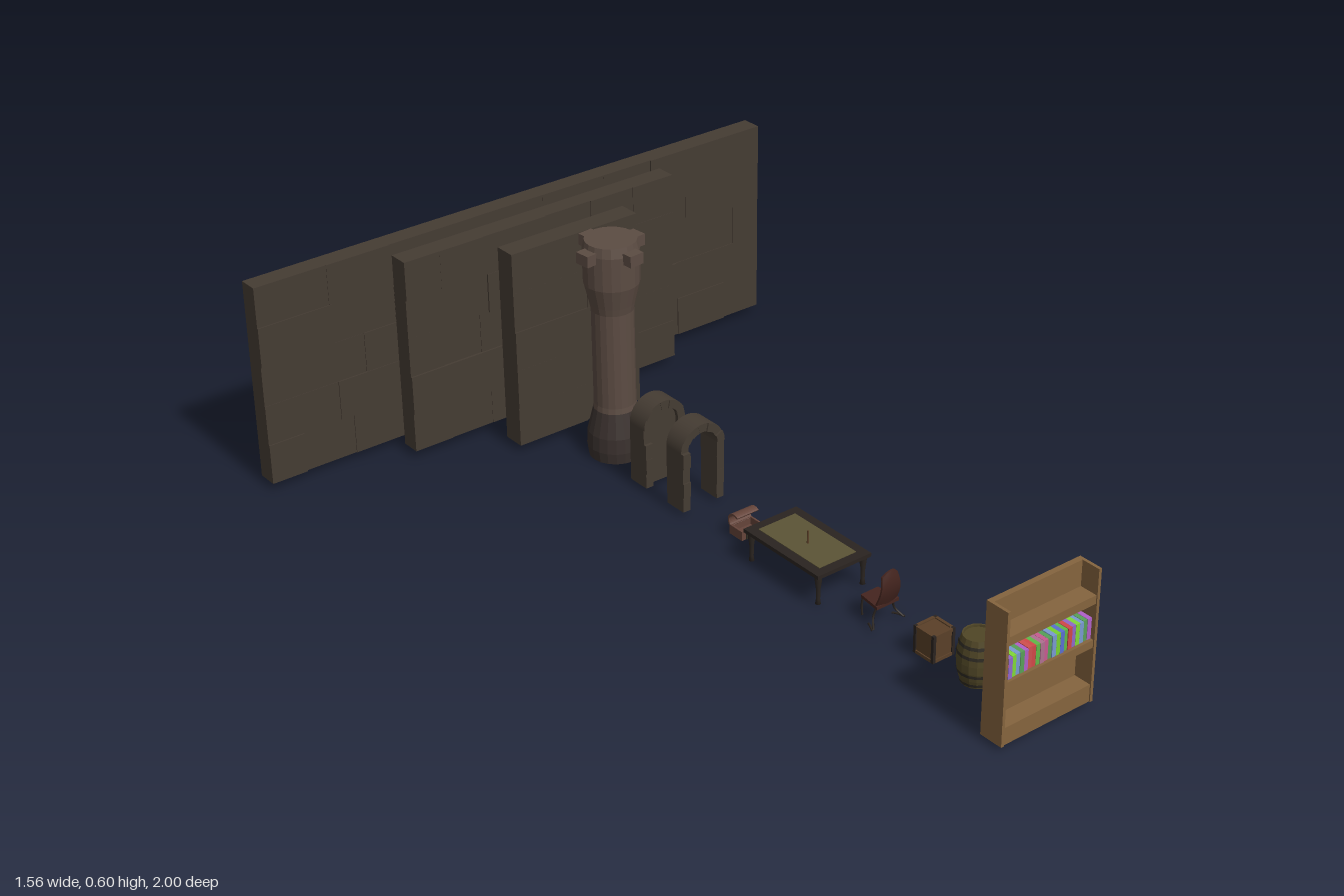
import * as THREE from 'three';

const mat = (color, flat = false, side = THREE.FrontSide) => new THREE.MeshStandardMaterial({ color, flatShading: flat, side });
const stone = mat(0x453c33, true), column = mat(0x5c4c43, true), columnDark = mat(0x3a312e, true);
const wood = mat(0x85643e), woodDark = mat(0x5a4028), felt = mat(0x5c5436), black = mat(0x2a2420);
const leather = mat(0x45251f), barrelWood = mat(0x504626, true), iron = mat(0x2e2a22, true);
const chestRed = mat(0x65443a, true, THREE.DoubleSide);

let seed = 7;
const rnd = () => (seed = (seed * 16807) % 2147483647) / 2147483647;

function add(parent, name, geometry, material, x = 0, y = 0, z = 0) {
  const m = new THREE.Mesh(geometry, material);
  m.name = name;
  m.position.set(x, y, z);
  parent.add(m);
  return m;
}
// box given by its extents
const box = (p, name, material, x0, x1, y0, y1, z0, z1) =>
  add(p, name, new THREE.BoxGeometry(x1 - x0, y1 - y0, z1 - z0), material, (x0 + x1) / 2, (y0 + y1) / 2, (z0 + z1) / 2);
function group(parent, name) {
  const g = new THREE.Group();
  g.name = name;
  parent.add(g);
  return g;
}
const lathe = (pts, n) => new THREE.LatheGeometry(pts.map(p => new THREE.Vector2(...p)), n);

// slab faced with courses of uneven stones
function wall(root, name, x0, x1, y0, y1, z0, z1) {
  const g = group(root, name), courses = 5, h = (y1 - y0) / courses;
  box(g, 'wallCore', stone, x0, x1, y0, y1, z0, z1 - 0.007);
  for (let i = 0; i < courses; i++) {
    let x = x0;
    while (x < x1 - 0.001) {
      let e = x + 0.1 + rnd() * 0.16;
      if (e > x1 - 0.06) e = x1;
      box(g, 'wallStone', stone, x, e, y0 + i * h, y0 + (i + 1) * h, z1 - 0.02, z1 - 0.006 + rnd() * 0.007);
      x = e;
    }
  }
}

function pillar(root) {
  const g = group(root, 'pillar');
  g.position.z = -0.565;
  add(g, 'pillarBase', lathe([[0, 0], [0.07, 0], [0.074, 0.03], [0.072, 0.07], [0.056, 0.135]], 20), columnDark);
  add(g, 'pillarShaft', lathe([[0.056, 0.135], [0.054, 0.15], [0.054, 0.41], [0.058, 0.43], [0.071, 0.485], [0.072, 0.575],
    [0.066, 0.6], [0, 0.6]], 20), column);
  for (let i = 0; i < 4; i++) {
    const lug = group(g, 'pillarLug');
    lug.rotation.y = i * Math.PI / 2 + 0.1;
    box(lug, 'lugBlock', column, -0.021, 0.021, 0.557, 0.587, 0.06, 0.095);
  }
}

// round-headed stone arch, optionally walled up
function arch(root, name, z0, z1, closed) {
  const g = group(root, name);
  g.position.x = -0.004;
  const R = 0.064, r = 0.042, spring = 0.174, foot = 0.012;
  const piece = (shape, depth) => add(g, 'archStone',
    new THREE.ExtrudeGeometry(shape, { depth, bevelEnabled: false, curveSegments: 4 }), stone, 0, 0, z0);
  const depth = () => z1 - z0 - rnd() * 0.012;
  const n = 7;
  for (let i = 0; i < n; i++) {
    const a = Math.PI * i / n, b = Math.PI * (i + 1) / n;
    const s = new THREE.Shape();
    s.absarc(0, spring, R, a, b, false);
    s.absarc(0, spring, r, b, a, true);
    piece(s, depth());
  }
  for (const side of [-1, 1]) for (let i = 0; i < 4; i++) {
    const h = (spring - foot) / 4, xa = side < 0 ? -R : r;
    box(g, 'jambStone', stone, xa, xa + R - r, foot + i * h, foot + (i + 1) * h, z0, z0 + depth());
  }
  if (closed) {
    const s = new THREE.Shape();
    s.moveTo(-r, foot);
    s.lineTo(r, foot);
    s.absarc(0, spring, r, 0, Math.PI, false);
    piece(s, (z1 - z0) * 0.7).name = 'archInfill';
  }
}

function chest(root) {
  const g = group(root, 'chest');
  const [x0, x1, z0, z1] = [-0.036, 0.03, -0.06, -0.012];
  box(g, 'chestFloor', chestRed, x0, x1, 0.008, 0.013, z0, z1);
  box(g, 'chestFront', chestRed, x0, x1, 0.008, 0.033, z1 - 0.005, z1);
  box(g, 'chestBack', chestRed, x0, x1, 0.008, 0.033, z0, z0 + 0.005);
  for (const x of [x0, x1 - 0.005]) box(g, 'chestEnd', chestRed, x, x + 0.005, 0.008, 0.033, z0, z1);
  // raised half-round lid
  const s = new THREE.Shape();
  s.absarc(0, 0, 0.023, 0, Math.PI, false);
  s.absarc(0, 0, 0.018, Math.PI, 0, true);
  const lid = add(g, 'chestLid', new THREE.ExtrudeGeometry(s, { depth: x1 - x0, bevelEnabled: false, curveSegments: 8 }), chestRed, x0, 0.045, -0.043);
  lid.rotation.set(0, Math.PI / 2, 0);
  lid.geometry.rotateZ(-0.9);
  for (const x of [x0 + 0.012, x1 - 0.017]) box(g, 'chestBand', iron, x, x + 0.005, 0.008, 0.033, z1, z1 + 0.002);
}

function table(root) {
  const g = group(root, 'table');
  const [x0, x1, z0, z1] = [-0.083, 0.08, 0.053, 0.325];
  box(g, 'tableTop', black, x0, x1, 0.082, 0.092, z0, z1);
  box(g, 'tableInlay', felt, x0 + 0.025, x1 - 0.025, 0.09, 0.0935, z0 + 0.025, z1 - 0.025);
  for (const x of [x0 + 0.013, x1 - 0.013]) for (const z of [z0 + 0.014, z1 - 0.014])
    add(g, 'tableLeg', lathe([[0, 0.006], [0.007, 0.006], [0.005, 0.02], [0.006, 0.05], [0.009, 0.07], [0.009, 0.083]], 10), black, x, 0, z);
  add(g, 'candle', new THREE.CylinderGeometry(0.002, 0.003, 0.035, 8), woodDark, -0.008, 0.11, 0.2);
}

function chair(root) {
  const g = group(root, 'chair');
  // seat narrowing toward the table
  const seat = new THREE.Shape([[-0.026, -0.41], [0.026, -0.41], [0.034, -0.475], [-0.034, -0.475]].map(p => new THREE.Vector2(...p)));
  const geo = new THREE.ExtrudeGeometry(seat, { depth: 0.008, bevelEnabled: false });
  geo.rotateX(-Math.PI / 2);
  add(g, 'chairSeat', geo, leather, 0, 0.055, 0);
  // curved back panel
  const back = new THREE.BoxGeometry(0.062, 0.092, 0.005, 8, 8, 1), p = back.attributes.position;
  for (let i = 0; i < p.count; i++) {
    const t = p.getY(i) / 0.092 + 0.5, u = p.getX(i) / 0.031;
    p.setXYZ(i, p.getX(i) * (1 - 0.25 * t * t), 0.06 + 0.095 * t - 0.015 * u * u * t,
      p.getZ(i) + 0.472 + 0.016 * Math.sin(t * 2.4) - 0.006 * u * u);
  }
  back.computeVertexNormals();
  add(g, 'chairBack', back, leather);
  const rod = (name, pts) => add(g, name, new THREE.TubeGeometry(
    new THREE.CatmullRomCurve3(pts.map(q => new THREE.Vector3(...q))), 8, 0.0028, 6), black);
  for (const s of [-1, 1]) {
    rod('chairFrontLeg', [[s * 0.023, 0.056, 0.414], [s * 0.024, 0.035, 0.412], [s * 0.025, 0.01, 0.415]]);
    rod('chairRearLeg', [[s * 0.025, 0.056, 0.465], [s * 0.032, 0.03, 0.461], [s * 0.046, 0.008, 0.478]]);
    rod('chairFoot', [[s * 0.036, 0.008, 0.45], [s * 0.042, 0.009, 0.462], [s * 0.05, 0.007, 0.48]]);
  }
}

function crate(root) {
  const g = group(root, 'crate');
  const [x0, x1, y0, y1, z0, z1] = [-0.04, 0.026, 0.013, 0.085, 0.605, 0.672], t = 0.008;
  box(g, 'crateBody', woodDark, x0 + 0.003, x1 - 0.003, y0 + 0.003, y1 - 0.003, z0 + 0.003, z1 - 0.003);
  for (const x of [x0, x1 - t]) for (const z of [z0, z1 - t]) box(g, 'cratePost', black, x, x + t, y0, y1, z, z + t);
  for (const y of [y0, y1 - t]) {
    for (const z of [z0, z1 - t]) box(g, 'crateRail', woodDark, x0 + t, x1 - t, y, y + t, z, z + t);
    for (const x of [x0, x1 - t]) box(g, 'crateRail', woodDark, x, x + t, y, y + t, z0 + t, z1 - t);
  }
}

function barrel(root) {
  const g = group(root, 'barrel');
  g.position.set(-0.002, 0, 0.775);
  const radius = y => 0.049 - 0.011 * ((y - 0.073) / 0.062) ** 2;
  const side = [];
  for (let i = 0; i <= 6; i++) side.push([radius(0.011 + i * 0.0207), 0.011 + i * 0.0207]);
  add(g, 'barrelStaves', lathe([[0, 0.016], [0.034, 0.016], [0.034, 0.011], ...side, [0.034, 0.135], [0.034, 0.129], [0, 0.129]], 16), barrelWood);
  for (const y of [0.02, 0.046, 0.094, 0.118])
    add(g, 'barrelHoop', new THREE.CylinderGeometry(radius(y + 0.004) + 0.0015, radius(y - 0.004) + 0.0015, 0.008, 16, 1, true), iron, 0, y, 0);
}

function bookcase(root) {
  const g = group(root, 'bookcase');
  const [x0, x1, y0, y1, z0, z1] = [-0.14, 0.136, 0.013, 0.357, 0.932, 0.997];
  box(g, 'backPanel', wood, x0, x1, y0, y1, z0, z0 + 0.015);
  for (const x of [x0, x1 - 0.008]) box(g, 'sidePanel', wood, x, x + 0.008, y0, y1, z0, z1);
  for (const [a, b] of [[0.013, 0.058], [0.155, 0.175], [0.268, 0.29]])
    box(g, 'shelf', wood, x0 + 0.008, x1 - 0.008, a, b, z0 + 0.015, z1 - 0.003);
  // row of books
  const colors = [0xd04848, 0x5a6fd0, 0xb060c8, 0x7a9ad0, 0xc85a90, 0x9068c8, 0x60b848, 0xd05050, 0x78d030, 0x58a058, 0x80d838, 0xb07090];
  const n = 22, w = (x1 - x0 - 0.016) / n;
  for (let i = 0; i < n; i++) {
    const x = x0 + 0.008 + i * w, c = colors[(i * 5 + (i >> 2)) % colors.length];
    box(g, 'book', mat(c), x, x + w, 0.175, 0.23 - rnd() * 0.003, z0 + 0.015, z1 - 0.01 - rnd() * 0.003);
  }
}

export function createModel() {
  const root = new THREE.Group();
  root.name = 'dungeonFurnishings';
  wall(root, 'longWall', -0.78, 0.777, 0.019, 0.56, -1, -0.945);
  wall(root, 'mediumWall', -0.416, 0.412, 0.02, 0.552, -0.907, -0.852);
  wall(root, 'shortWall', -0.194, 0.19, 0.02, 0.557, -0.772, -0.71);
  pillar(root);
  arch(root, 'closedArch', -0.412, -0.344, true);
  arch(root, 'openArch', -0.264, -0.194, false);
  chest(root);
  table(root);
  chair(root);
  crate(root);
  barrel(root);
  bookcase(root);
  return root;
}
